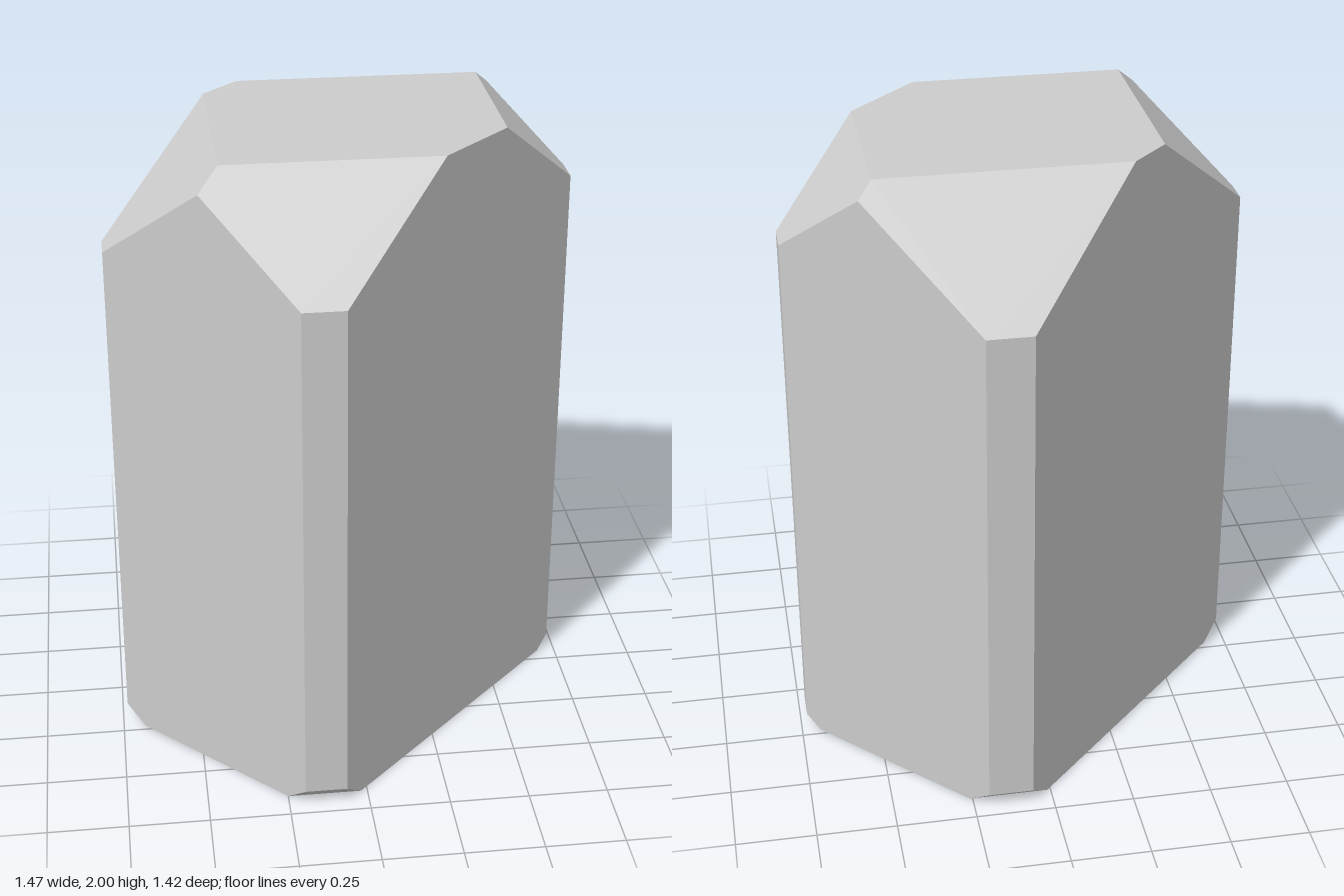
import * as THREE from 'three';

const V = (x, y, z) => new THREE.Vector3(x, y, z);
const plane = (normal, distance) => new THREE.Plane(normal, -distance);

// Builds the flat-faced solid enclosed by a list of outward-facing planes
function solidFromPlanes(planes) {
  const corners = [];
  const m = new THREE.Matrix3();
  planes.forEach((a, i) => planes.slice(i + 1).forEach((b, j) => planes.slice(i + j + 2).forEach((c) => {
    const [p, q, r] = [a.normal, b.normal, c.normal];
    m.set(p.x, p.y, p.z, q.x, q.y, q.z, r.x, r.y, r.z);
    if (Math.abs(m.determinant()) < 1e-4) return;
    const v = V(-a.constant, -b.constant, -c.constant).applyMatrix3(m.invert());
    const inside = planes.every((s) => s.distanceToPoint(v) < 1e-5);
    if (inside && !corners.some((k) => k.distanceTo(v) < 1e-4)) corners.push(v);
  })));

  // Each face: order its corners around the normal, then fan them
  const positions = [];
  for (const s of planes) {
    const ring = corners.filter((v) => Math.abs(s.distanceToPoint(v)) < 1e-4);
    if (ring.length < 3) continue;
    const mid = ring.reduce((sum, v) => sum.add(v), V(0, 0, 0)).divideScalar(ring.length);
    const u = ring[0].clone().sub(mid).normalize();
    const w = s.normal.clone().cross(u);
    const angle = (v) => Math.atan2(v.clone().sub(mid).dot(w), v.clone().sub(mid).dot(u));
    ring.sort((a, b) => angle(a) - angle(b));
    for (let i = 1; i < ring.length - 1; i++) {
      for (const v of [ring[0], ring[i], ring[i + 1]]) positions.push(v.x, v.y, v.z);
    }
  }
  const geometry = new THREE.BufferGeometry();
  geometry.setAttribute('position', new THREE.Float32BufferAttribute(positions, 3));
  geometry.computeVertexNormals();
  return geometry;
}

export function createModel() {
  const group = new THREE.Group();
  group.name = 'stoneBlock';

  // Flat top and base
  const planes = [plane(V(0, 1, 0), 2), plane(V(0, -1, 0), 0)];

  // Four broad diagonal sides: direction and x/z offset
  const sides = [[1, 1, 0.64], [-1, -1, 0.65], [-1, 1, 0.91], [1, -1, 0.92]];
  for (const [x, z, offset] of sides) {
    planes.push(plane(V(x, 0, z).normalize(), offset / Math.SQRT2));
  }

  // Four cut corners, each a profile of [reach, height] from base to top
  const cuts = [
    [V(0, 0, 1), [[0.66, 0], [0.71, 0.05], [0.71, 1.68], [0.385, 2]]],
    [V(0, 0, -1), [[0.66, 0], [0.715, 0.05], [0.715, 1.65], [0.362, 2]]],
    [V(1, 0, 0), [[0.69, 0], [0.73, 0.04], [0.73, 1.74], [0.47, 2]]],
    [V(-1, 0, 0), [[0.68, 0], [0.735, 0.055], [0.735, 1.665], [0.4, 2]]],
  ];
  for (const [out, profile] of cuts) {
    for (let i = 0; i < profile.length - 1; i++) {
      const [r0, y0] = profile[i];
      const [r1, y1] = profile[i + 1];
      const normal = out.clone().multiplyScalar(y1 - y0).add(V(0, r0 - r1, 0)).normalize();
      const point = out.clone().multiplyScalar(r0).add(V(0, y0, 0));
      planes.push(plane(normal, normal.dot(point)));
    }
  }

  const stone = new THREE.Mesh(
    solidFromPlanes(planes),
    new THREE.MeshStandardMaterial({ color: 0xcccccc, flatShading: true }),
  );
  stone.name = 'stone';
  group.add(stone);
  return group;
}
